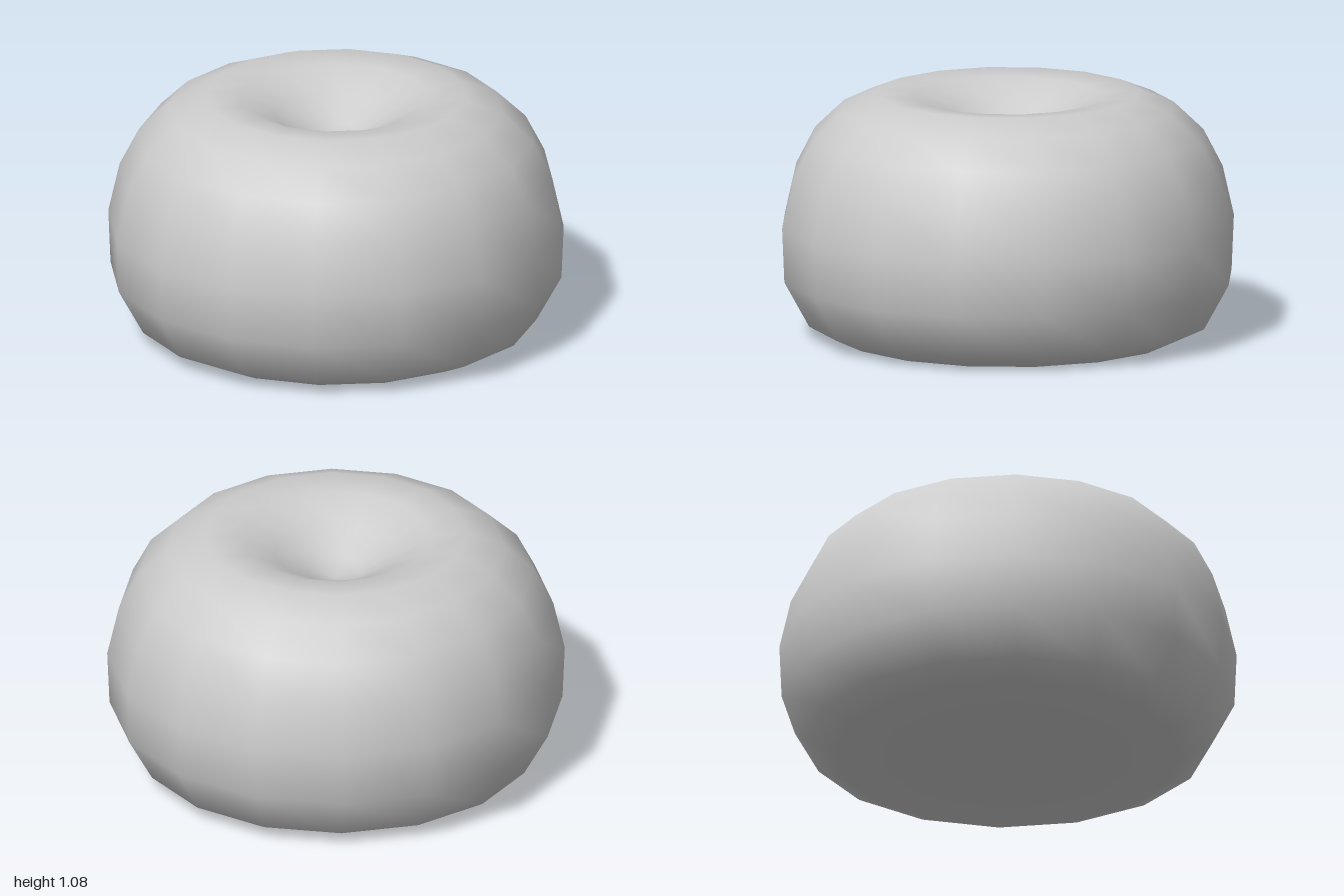
import * as THREE from 'three';
import { mergeVertices } from 'three/addons/utils/BufferGeometryUtils.js';

// Outline from the centre of the base, round the side, into the dimple: [radius, height]
const PROFILE = [
  [0, 0], [0.5, 0], [0.75, 0], [0.88, 0.06], [0.99, 0.26], [1, 0.5],
  [0.95, 0.72], [0.865, 0.885], [0.735, 1.01], [0.575, 1.075],
  [0.42, 1.06], [0.27, 0.985], [0.12, 0.895], [0, 0.86],
];

// Sixteen-sided turned solid, welded so shading runs smoothly over seam and poles
function turned(profile, sides) {
  const points = profile.map(([r, y]) => new THREE.Vector2(r, y));
  let geometry = new THREE.LatheGeometry(points, sides);
  geometry.deleteAttribute('uv');
  geometry.deleteAttribute('normal');
  geometry = mergeVertices(geometry, 1e-4);
  geometry.computeVertexNormals();
  return geometry;
}

export function createModel() {
  const model = new THREE.Group();
  model.name = 'dimpledCushion';

  // Rounded body with a flat base and a dimple in the top
  const material = new THREE.MeshStandardMaterial({ color: 0xcccccc });
  const body = new THREE.Mesh(turned(PROFILE, 16), material);
  body.name = 'body';
  model.add(body);

  return model;
}
